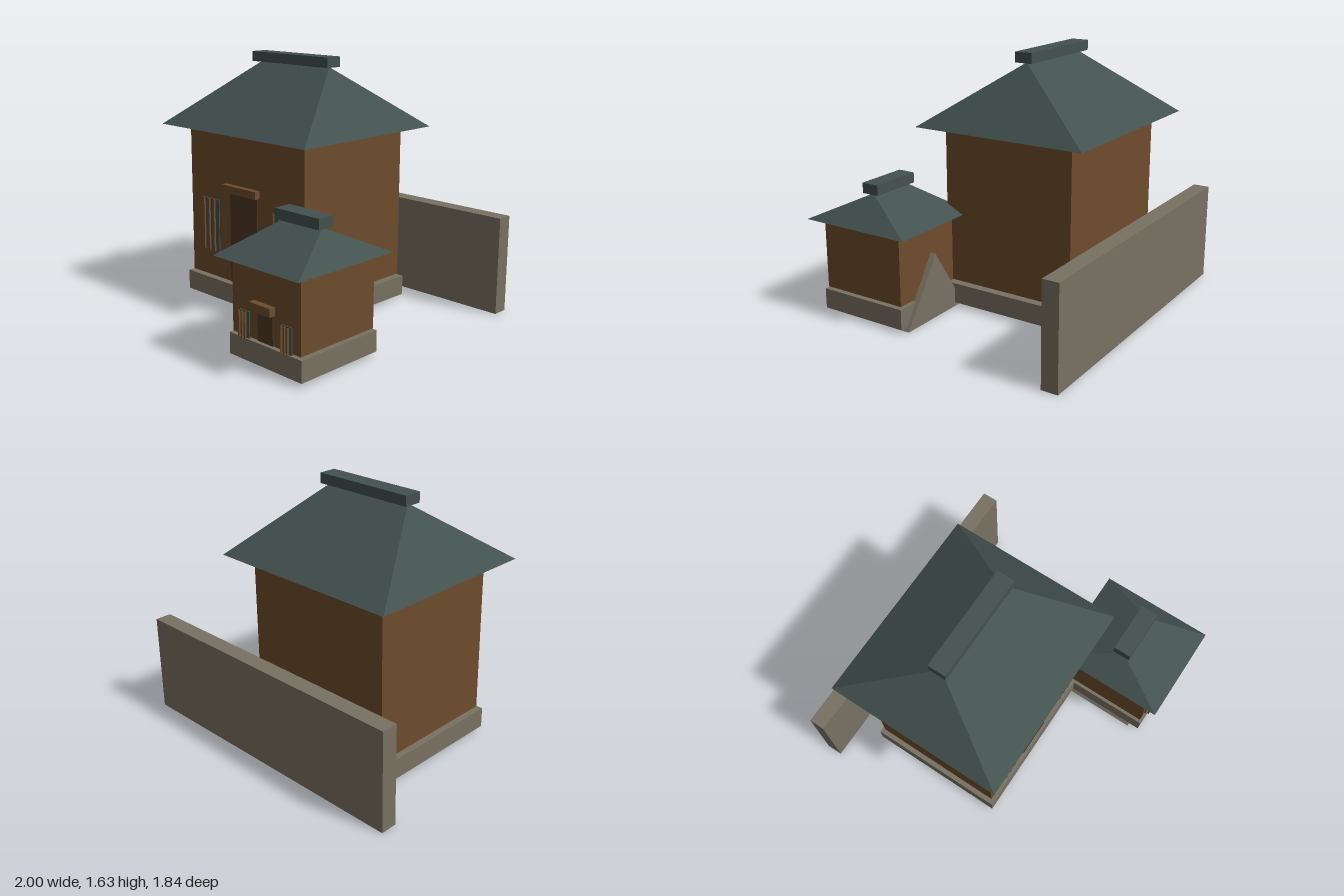
import * as THREE from 'three';

const mat = (name, color, side = THREE.FrontSide) => {
  const m = new THREE.MeshStandardMaterial({ color, side });
  m.name = name;
  return m;
};

// Shell made of flat polygons, each given as a list of corners (counter-clockwise from outside)
function shell(polygons) {
  const pos = [];
  for (const p of polygons)
    for (let i = 1; i < p.length - 1; i++) pos.push(...p[0], ...p[i], ...p[i + 1]);
  const g = new THREE.BufferGeometry();
  g.setAttribute('position', new THREE.Float32BufferAttribute(pos, 3));
  g.computeVertexNormals();
  return g;
}

// Open-bottomed hip roof; ridge runs along x
function hipRoof(w, h, d, ridge) {
  const x = w / 2, z = d / 2, r = ridge / 2;
  const a = [-x, 0, z], b = [x, 0, z], c = [x, 0, -z], e = [-x, 0, -z];
  const l = [-r, h, 0], m = [r, h, 0];
  return shell([[a, b, m, l], [c, e, l, m], [b, c, m], [e, a, l]]);
}

// Open-bottomed box for the plinths
function tray(w, h, d) {
  const x = w / 2, z = d / 2;
  const c = [[-x, z], [x, z], [x, -z], [-x, -z]];
  const lo = c.map(([a, b]) => [a, 0, b]), hi = c.map(([a, b]) => [a, h, b]);
  return shell([hi, ...c.map((_, i) => [lo[i], lo[(i + 1) % 4], hi[(i + 1) % 4], hi[i]])]);
}

// Open-bottomed triangular prism along z
function tent(w, h, d) {
  const x = w / 2, z = d / 2;
  const a = [-x, 0, z], b = [x, 0, z], t = [0, h, z];
  const c = [x, 0, -z], e = [-x, 0, -z], s = [0, h, -z];
  return shell([[a, b, t], [c, e, s], [b, c, s, t], [e, a, t, s]]);
}

export function createModel() {
  const root = new THREE.Group();
  root.name = 'walledHouses';
  const wood = mat('brownWood', 0x6e4c2c);
  const doorWood = mat('darkDoorWood', 0x4d3524);
  const slate = mat('slate', 0x43514f, THREE.DoubleSide);
  const stone = mat('stone', 0x787162, THREE.DoubleSide);

  const add = (parent, name, geo, material, x, y, z) => {
    const m = new THREE.Mesh(geo, material);
    m.name = name;
    m.position.set(x, y, z);
    parent.add(m);
  };
  // Box from its minimum and maximum corners
  const box = (parent, name, material, x0, x1, y0, y1, z0, z1) =>
    add(parent, name, new THREE.BoxGeometry(x1 - x0, y1 - y0, z1 - z0), material,
      (x0 + x1) / 2, (y0 + y1) / 2, (z0 + z1) / 2);

  function house(name, o) {
    const g = new THREE.Group();
    g.name = name;
    root.add(g);
    const { x, z, w, d, y0, y1 } = o;
    const front = z + d / 2;
    // Plinth, walls, roof and ridge cap
    add(g, 'plinth', tray(o.plinth[0], 0.13, o.plinth[1]), stone, x, 0.025, z);
    box(g, 'walls', wood, x - w / 2, x + w / 2, y0, y1, z - d / 2, front);
    const [rw, rh, rd, ridge] = o.roof;
    add(g, 'roof', hipRoof(rw, rh, rd, ridge), slate, x, y1, z);
    const top = y1 + rh, cap = o.cap / 2;
    box(g, 'ridgeCap', slate, x - cap, x + cap, top, top + 0.065, z - 0.058, z + 0.058);
    // Door and floating lintel
    const [dx, dw, dTop] = o.door;
    box(g, 'door', doorWood, dx - dw / 2, dx + dw / 2, y0, dTop, front - 0.002, front + 0.006);
    const lw = o.lintel / 2;
    box(g, 'lintel', wood, dx - lw, dx + lw, dTop, dTop + 0.05, front + 0.01, front + 0.05);
    // Windows with upright bars in front
    const [off, ww, wy0, wy1] = o.window;
    for (const s of [-1, 1]) {
      const wx = x + s * off;
      box(g, 'window', slate, wx - ww / 2, wx + ww / 2, wy0, wy1, front - 0.002, front + 0.007);
      for (let i = -1; i <= 1; i++) {
        const bx = wx + i * ww * 0.31, bw = ww * 0.045;
        box(g, 'windowBar', wood, bx - bw, bx + bw, wy0, wy1, front + 0.016, front + 0.029);
      }
    }
  }

  house('mainHouse', {
    x: -0.18, z: -0.167, w: 1.055, d: 0.89, y0: 0.168, y1: 1.17,
    plinth: [1.115, 0.935], roof: [1.315, 0.4, 1.16, 0.61], cap: 0.685,
    door: [-0.19, 0.255, 0.775], lintel: 0.315, window: [0.33, 0.16, 0.35, 0.7],
  });
  house('smallHouse', {
    x: 0.597, z: 0.538, w: 0.54, d: 0.585, y0: 0.166, y1: 0.615,
    plinth: [0.575, 0.61], roof: [0.67, 0.18, 0.755, 0.29], cap: 0.345,
    door: [0.598, 0.12, 0.35], lintel: 0.165, window: [0.168, 0.08, 0.157, 0.315],
  });

  // Triangular footing under the small house
  add(root, 'footing', tent(0.55, 0.42, 0.56), stone, 0.57, 0, 0.49);

  // Wall behind the houses
  box(root, 'rearWall', stone, -1, 1, 0, 0.635, -0.92, -0.815);

  return root;
}
